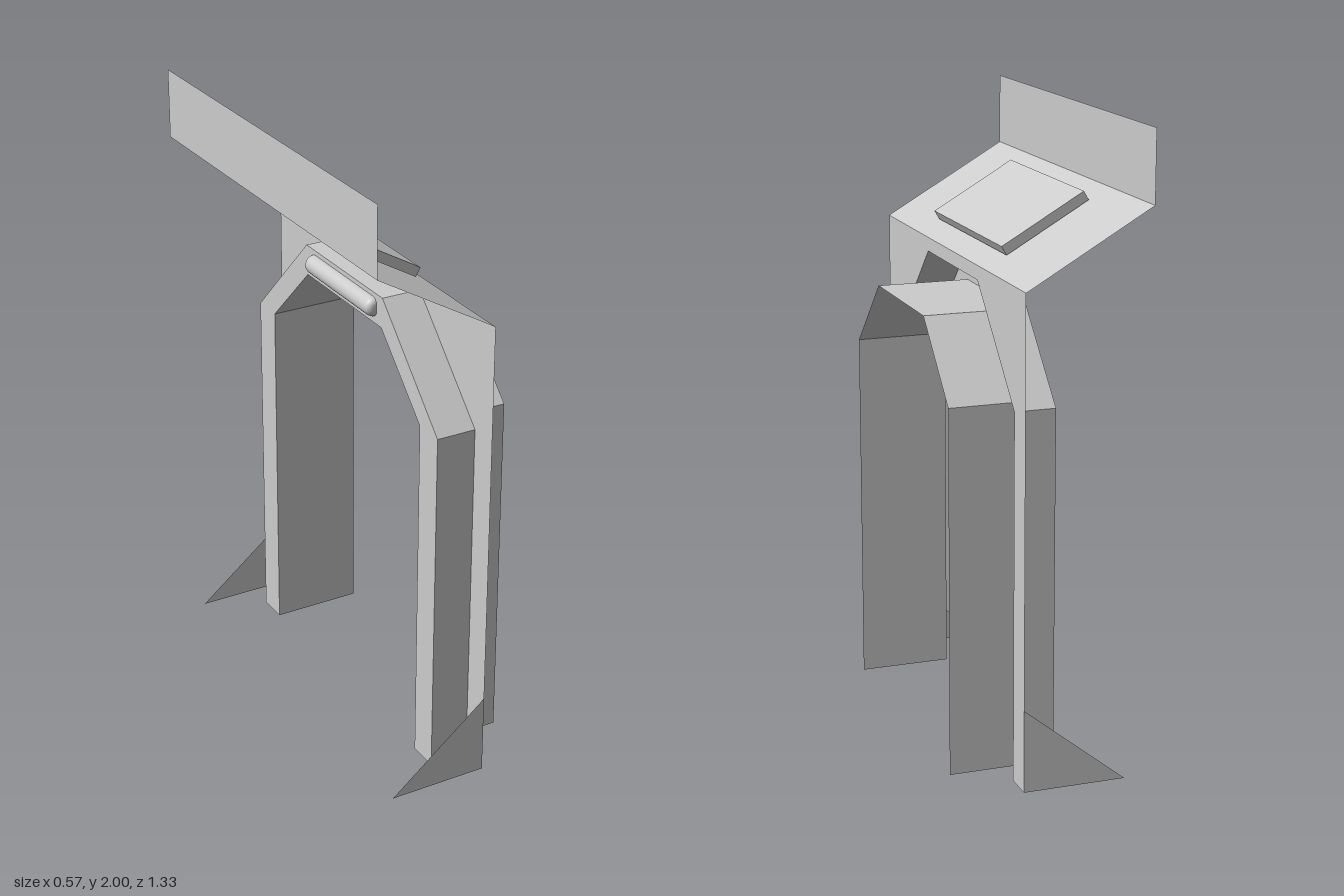
import * as THREE from 'three';

const material = new THREE.MeshStandardMaterial({ color: 0xcccccc, side: THREE.DoubleSide, flatShading: true });
const smooth = new THREE.MeshStandardMaterial({ color: 0xcccccc, side: THREE.DoubleSide });

const HALF = 0.665;                       // half width along z
const BACK = -0.283, RECESS = -0.018, WALL = 0.113, FRONT = 0.283;

// Arch outline as [z, y] points, from one foot to the other
const arch = (foot, shoulder, crown, top) => [
  [foot, 0], [foot, shoulder], [crown, top],
  [-crown, top], [-foot, shoulder], [-foot, 0],
];
const outerArch = arch(0.57, 1.17, 0.24, 1.5);
const innerArch = arch(0.467, 1.17, 0.233, 1.4);

// Flat sheet in a plane of constant x, from [z, y] points
function sheet(points, x) {
  const shape = new THREE.Shape(points.map(([z, y]) => new THREE.Vector2(-z, y)));
  return new THREE.ShapeGeometry(shape).rotateY(Math.PI / 2).translate(x, 0, 0);
}

// Folded band following [z, y] points, running from x0 to x1
function band(points, x0, x1) {
  const v = [];
  for (let i = 0; i < points.length - 1; i++) {
    const [za, ya] = points[i], [zb, yb] = points[i + 1];
    v.push(x0, ya, za, x1, ya, za, x1, yb, zb, x0, ya, za, x1, yb, zb, x0, yb, zb);
  }
  const g = new THREE.BufferGeometry();
  g.setAttribute('position', new THREE.Float32BufferAttribute(v, 3));
  g.computeVertexNormals();
  return g;
}

export function createModel() {
  const group = new THREE.Group();
  const add = (name, geometry, mat = material) => {
    const mesh = new THREE.Mesh(geometry, mat);
    mesh.name = name;
    group.add(mesh);
    return mesh;
  };

  // Main wall with the outer arch cut out
  add('wall', sheet([[HALF, 0], [HALF, 1.545], [-HALF, 1.545], [-HALF, 0],
    ...[...outerArch].reverse()], WALL));

  // Stepped arch: recess sides, recess face, inner lining
  add('recessSides', band(outerArch, RECESS, WALL));
  add('recessFace', sheet([...outerArch, ...[...innerArch].reverse()], RECESS));
  add('archLining', band(innerArch, RECESS, FRONT));

  // Sloping top and upright header
  const roof = new THREE.PlaneGeometry(Math.hypot(WALL - BACK, 0.23), 2 * HALF);
  const slope = Math.atan2(0.23, WALL - BACK);
  const top = add('slopingTop', roof.rotateX(-Math.PI / 2));
  top.rotation.z = -slope;
  top.position.set((WALL + BACK) / 2, 1.66, 0);
  add('header', sheet([[HALF, 1.775], [HALF, 2], [-HALF, 2], [-HALF, 1.775]], BACK));

  // Raised panel on the slope
  const panel = add('raisedPanel', new THREE.BoxGeometry(0.304, 0.032, 0.644));
  panel.rotation.z = -slope;
  panel.position.set(-0.075, 1.677, 0);

  // Triangular feet at both outer edges
  for (const side of [1, -1]) {
    const foot = new THREE.Shape([[-0.215, 0], [WALL, 0], [WALL, 0.265]].map(p => new THREE.Vector2(...p)));
    add(side > 0 ? 'leftFoot' : 'rightFoot', new THREE.ShapeGeometry(foot).translate(0, 0, side * HALF));
  }

  // Half-round bar with rounded ends behind the crown
  const r = 0.032, b = 0.02, h = 0.205, profile = [[0, -h]];
  for (const end of [-1, 1]) {
    for (let i = 0; i <= 4; i++) {
      const a = (end < 0 ? i : 4 - i) * Math.PI / 8;
      profile.push([r - b + b * Math.sin(a), end * (h - b + b * Math.cos(a))]);
    }
  }
  profile.push([0, h]);
  const bar = new THREE.LatheGeometry(profile.map(p => new THREE.Vector2(...p)), 14, Math.PI, Math.PI);
  add('halfRoundBar', bar.rotateX(Math.PI / 2).translate(RECESS, 1.453, 0), smooth);

  return group;
}
